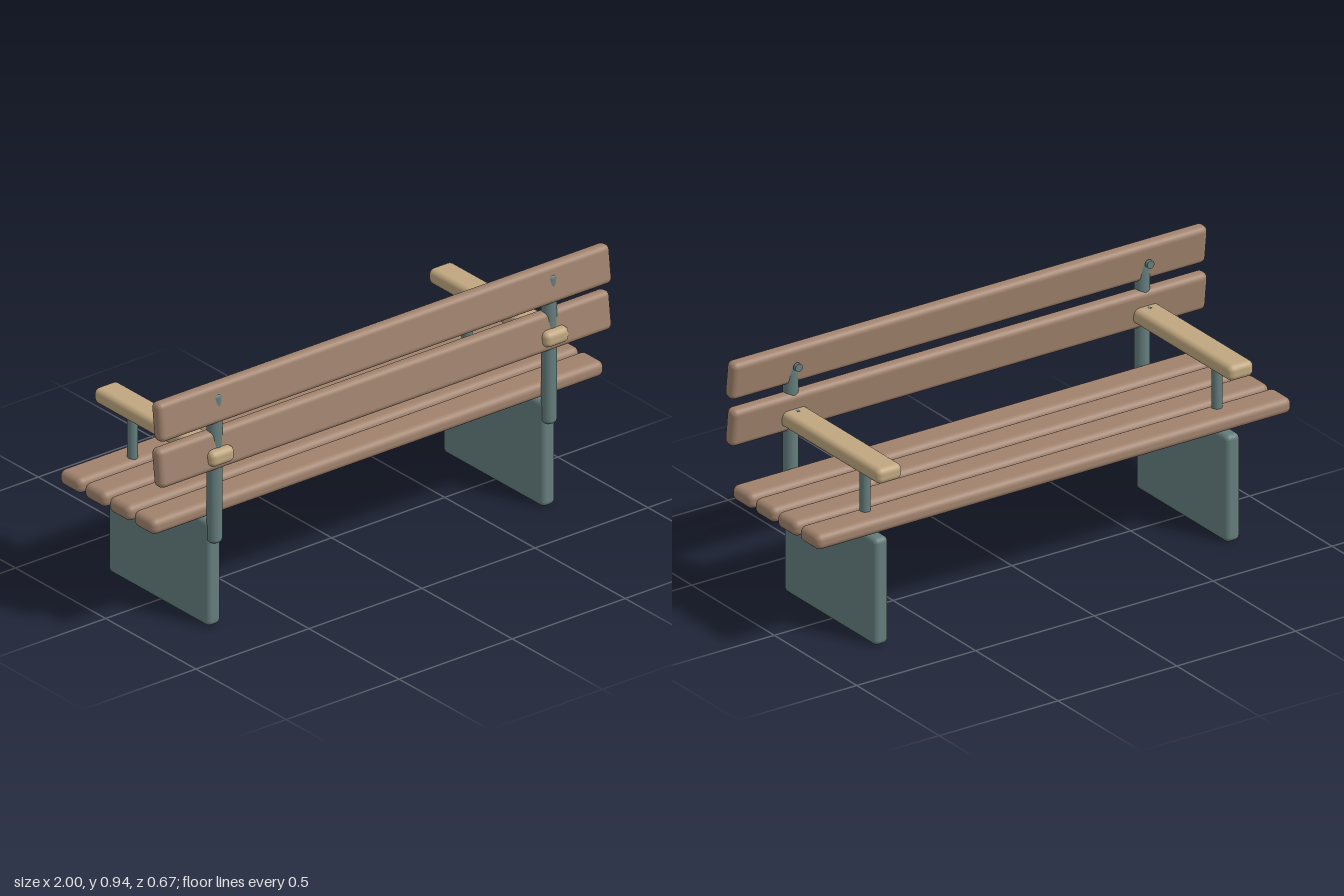
import * as THREE from 'three';
import { RoundedBoxGeometry } from 'three/addons/geometries/RoundedBoxGeometry.js';

const wood = new THREE.MeshStandardMaterial({ color: 0xa0826d });
const paleWood = new THREE.MeshStandardMaterial({ color: 0xbfa67f });
const metal = new THREE.MeshStandardMaterial({ color: 0x647d7c });

function add(group, name, geometry, material, x, y, z) {
  const mesh = new THREE.Mesh(geometry, material);
  mesh.name = name;
  mesh.position.set(x, y, z);
  group.add(mesh);
  return mesh;
}

// Upright round bar with filleted ends, standing on its own origin
function roundBar(radius, height, fillet) {
  const pts = [new THREE.Vector2(0, 0)];
  for (let end = 0; end < 2; end++) {
    for (let i = 0; i <= 5; i++) {
      const a = (end + i / 5 - 1) * Math.PI / 2;
      const cy = end ? height - fillet : fillet;
      pts.push(new THREE.Vector2(radius - fillet + fillet * Math.cos(a), cy + fillet * Math.sin(a)));
    }
  }
  pts.push(new THREE.Vector2(0, height));
  return new THREE.LatheGeometry(pts, 32);
}

export function createModel() {
  const bench = new THREE.Group();
  bench.name = 'bench';

  // Seat planks
  for (let i = 0; i < 4; i++) {
    add(bench, 'seatSlat', new RoundedBoxGeometry(2, 0.06, 0.12, 5, 0.025), wood, 0, 0.446, 0.205 - i * 0.1363);
  }

  // Tilted backrest planks
  for (const y of [0.686, 0.864]) {
    const board = add(bench, 'backSlat', new RoundedBoxGeometry(2, 0.147, 0.053, 5, 0.022), wood, 0, y, 0.277);
    board.rotation.x = -0.12;
  }

  // Each end: leg panel, back post, arm support, armrest and bolts
  for (const side of [-1, 1]) {
    const end = new THREE.Group();
    end.name = side > 0 ? 'leftEnd' : 'rightEnd';
    end.position.x = side * 0.74;
    bench.add(end);

    add(end, 'legPanel', new RoundedBoxGeometry(0.06, 0.408, 0.56, 5, 0.02), metal, 0, 0.204, 0);
    add(end, 'backPost', roundBar(0.0275, 0.58, 0.016), metal, 0, 0.325, 0.277);
    add(end, 'armSupport', roundBar(0.019, 0.26, 0.006), metal, 0, 0.395, -0.176);
    add(end, 'armrest', new RoundedBoxGeometry(0.105, 0.06, 0.665, 5, 0.022), paleWood, 0, 0.669, 0);
    for (const y of [0.686, 0.865]) {
      const bolt = add(end, 'bolt', new THREE.CylinderGeometry(0.015, 0.015, 0.014, 20), metal, 0, y, 0.231);
      bolt.rotation.x = Math.PI / 2;
    }
  }
  return bench;
}
